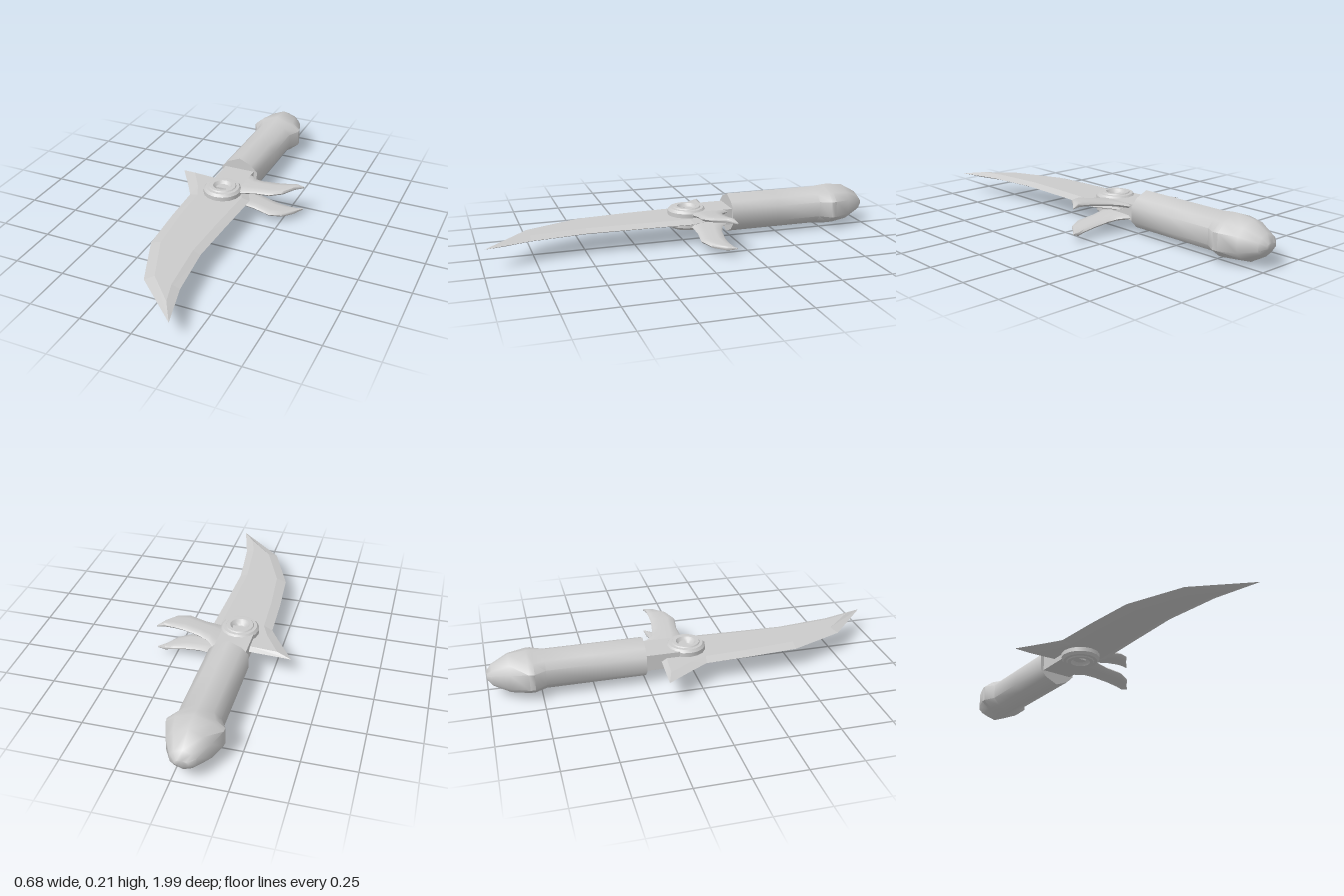
import * as THREE from 'three';
import { toCreasedNormals, mergeVertices } from 'three/addons/utils/BufferGeometryUtils.js';

const CX = -0.05, CY = 0.108; // axis of the grip
const material = new THREE.MeshStandardMaterial({ color: 0xcccccc });

function part(name, geometry, parent) {
  const mesh = new THREE.Mesh(geometry, material);
  mesh.name = name;
  parent.add(mesh);
  return mesh;
}

// Closed solid from points and triangles, wound so that its faces look outward
function solid(points, faces, crease) {
  let volume = 0;
  const n = new THREE.Vector3();
  for (const [a, b, c] of faces) volume += points[a].dot(n.crossVectors(points[b], points[c]));
  const index = faces.flatMap(([a, b, c]) => (volume < 0 ? [a, c, b] : [a, b, c]));
  const g = new THREE.BufferGeometry().setFromPoints(points);
  g.setIndex(index);
  return toCreasedNormals(g, crease);
}

// Skin over a row of equal-sized rings, with both ends closed
function loft(rings, crease) {
  const n = rings[0].length, last = (rings.length - 1) * n, faces = [];
  for (let r = 0; r < rings.length - 1; r++) {
    for (let i = 0; i < n; i++) {
      const a = r * n + i, b = r * n + (i + 1) % n;
      faces.push([a, b, b + n], [a, b + n, a + n]);
    }
  }
  for (let i = 1; i < n - 1; i++) faces.push([0, i + 1, i], [last, last + i, last + i + 1]);
  return solid(rings.flat(), faces, crease);
}

// Grip and flared pommel: [z, half width, half height]
function handleGeometry() {
  const section = [[0, 1], [0.66, 0.72], [1, 0.38], [1, -0.38], [0.66, -0.72],
    [0, -1], [-0.66, -0.72], [-1, -0.38], [-1, 0.38], [-0.66, 0.72]];
  const stations = [[-0.25, 0.097, 0.1], [-0.5, 0.097, 0.1], [-0.73, 0.097, 0.1], [-0.785, 0.13, 0.106],
    [-0.81, 0.128, 0.107], [-0.895, 0.1, 0.097], [-0.975, 0.058, 0.052], [-1, 0.03, 0.016]];
  return loft(stations.map(([z, w, h]) =>
    section.map(([u, v]) => new THREE.Vector3(CX + u * w, CY + v * h, z))), 0.85);
}

// Curved, pointed prong: [x, back z, front z, height above centre, half thickness]
function prongGeometry(side) {
  const stations = [[-0.01, -0.235, -0.03, 0.022, 0.012], [0.035, -0.225, -0.03, 0.029, 0.012],
    [0.07, -0.185, -0.036, 0.035, 0.012], [0.12, -0.166, -0.04, 0.043, 0.012],
    [0.2, -0.155, -0.03, 0.056, 0.012], [0.26, -0.156, -0.06, 0.064, 0.011],
    [0.3, -0.161, -0.118, 0.069, 0.01], [0.336, -0.166, -0.16, 0.062, 0.003]];
  const section = [[-1, 0], [-0.85, 0.8], [-0.4, 1], [0.4, 1], [0.85, 0.8],
    [1, 0], [0.85, -0.8], [0.4, -1], [-0.4, -1], [-0.85, -0.8]];
  return loft(stations.map(([x, z0, z1, y, t]) => section.map(([u, v]) =>
    new THREE.Vector3(x, CY + side * (y + v * t), (z0 + z1) / 2 + u * (z1 - z0) / 2))), 1);
}

// Blade: thin edge outline around a thicker flat, bevelled on both faces
function bladeGeometry() {
  const edge = [[-0.34, -0.185], [-0.25, -0.05], [-0.2, 0.03], [-0.19, 0.25], [-0.17, 0.5], [-0.06, 0.77],
    [0.175, 0.99], [0.115, 0.77], [0.083, 0.5], [0.09, 0.25], [0.1, -0.03], [0.03, -0.17], [-0.13, -0.175]];
  const flat = [[-0.265, -0.16], [-0.19, -0.04], [-0.155, 0.04], [-0.145, 0.25], [-0.12, 0.5], [-0.02, 0.745],
    [0.11, 0.885], [0.075, 0.77], [0.045, 0.5], [0.05, 0.25], [0.06, -0.02], [0.0, -0.14], [-0.13, -0.15]];
  const n = edge.length, faces = [];
  const layer = (outline, y) => outline.map(([x, z]) => new THREE.Vector3(x, CY + y, z));
  const points = [...layer(flat, 0.015), ...layer(edge, 0), ...layer(flat, -0.015)];
  for (let r = 0; r < 2; r++) {
    for (let i = 0; i < n; i++) {
      const a = r * n + i, b = r * n + (i + 1) % n;
      faces.push([a, b, b + n], [a, b + n, a + n]);
    }
  }
  const contour = flat.map(([x, z]) => new THREE.Vector2(x, z));
  // Cap winding must follow the direction of the outline
  const forward = !THREE.ShapeUtils.isClockWise(contour);
  for (const [a, b, c] of THREE.ShapeUtils.triangulateShape(contour, [])) {
    const t = new THREE.Vector2().subVectors(contour[b], contour[a])
      .cross(new THREE.Vector2().subVectors(contour[c], contour[a])) > 0;
    const [p, q] = t === forward ? [b, c] : [c, b];
    faces.push([a, q, p], [a + 2 * n, p + 2 * n, q + 2 * n]);
  }
  return solid(points, faces, 0.05);
}

// Round pivot boss with a dished centre on both faces
function pivotGeometry() {
  const half = [[0, 0.028], [0.025, 0.031], [0.042, 0.046], [0.048, 0.055], [0.066, 0.055],
    [0.07, 0.05], [0.085, 0.049], [0.096, 0.036]];
  const profile = [...half, ...half.slice().reverse().map(([r, y]) => [r, -y])]
    .reverse().map(([r, y]) => new THREE.Vector2(r, y));
  const g = new THREE.LatheGeometry(profile, 16);
  g.deleteAttribute('normal');
  g.deleteAttribute('uv');
  return toCreasedNormals(mergeVertices(g), 0.6);
}

export function createModel() {
  const model = new THREE.Group();
  model.name = 'dagger';

  part('handle', handleGeometry(), model);
  part('blade', bladeGeometry(), model);

  // Flat bar that joins the grip to the pivot
  part('tang', new THREE.BoxGeometry(0.16, 0.08, 0.24), model).position.set(CX, CY, -0.15);
  part('pivot', pivotGeometry(), model).position.set(CX, CY, -0.035);

  // Pair of guard prongs, spread above and below the blade
  const guard = new THREE.Group();
  guard.name = 'guard';
  part('upperProng', prongGeometry(1), guard);
  part('lowerProng', prongGeometry(-1), guard);
  model.add(guard);

  return model;
}
